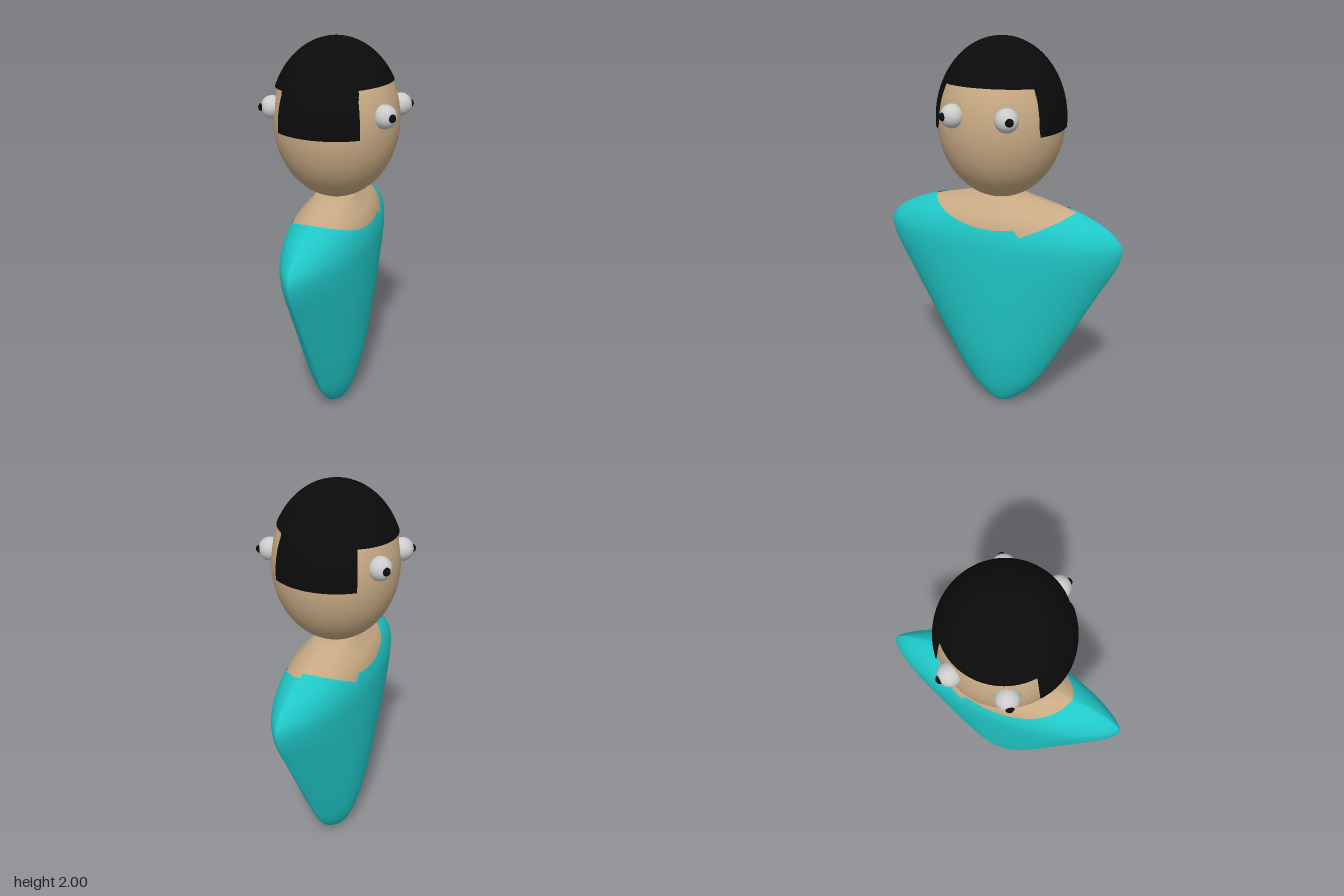
import * as THREE from 'three';
import { mergeVertices } from 'three/addons/utils/BufferGeometryUtils.js';
import { ParametricGeometry } from 'three/addons/geometries/ParametricGeometry.js';

const material = (color) => new THREE.MeshStandardMaterial({ color, side: THREE.DoubleSide });
const skin = material(0xc8aa84);
const teal = material(0x20c8c8);
const black = material(0x0b0b0b);
const white = material(0xcccccc);

// Smooth closed surface from a rule; u runs around, v runs upward
function surface(rule, slices, stacks) {
  let g = new ParametricGeometry(rule, slices, stacks);
  g.deleteAttribute('normal');
  g.deleteAttribute('uv');
  g = mergeVertices(g, 1e-5);
  g.computeVertexNormals();
  return g;
}

function add(parent, name, geometry, mat, x = 0, y = 0, z = 0) {
  const mesh = new THREE.Mesh(geometry, mat);
  mesh.name = name;
  mesh.position.set(x, y, z);
  parent.add(mesh);
  return mesh;
}

// Torso profile: half width in x, height, half depth in z
const profile = new THREE.CatmullRomCurve3([
  [0, 0.005, 0], [0.045, 0.04, 0.07], [0.075, 0.09, 0.13], [0.108, 0.18, 0.205],
  [0.145, 0.35, 0.3], [0.17, 0.55, 0.405], [0.19, 0.77, 0.52], [0.2, 0.95, 0.61],
  [0.2, 1.035, 0.62], [0.19, 1.1, 0.57], [0.17, 1.155, 0.48], [0.135, 1.2, 0.36],
  [0.11, 1.23, 0.23], [0.09, 1.25, 0.14], [0, 1.26, 0],
].map((p) => new THREE.Vector3(...p)));

// Lens-shaped cross-section of the torso
function torsoPoint(angle, t, target) {
  const p = profile.getPoint(t);
  const s = Math.sin(angle);
  return target.set(p.x * Math.sign(s) * Math.abs(s) ** 1.5, p.y, p.z * Math.cos(angle));
}

// Height of the neckline, with a small notch towards the back
function neckline(p) {
  if (p.z < -0.14) return 1.08 + (-p.z - 0.14) * (p.x > 0 ? 0.44 : 0.55);
  return 1.11 + 0.09 * (p.z / 0.35) ** 2;
}

function necklineAt(angle) {
  const p = new THREE.Vector3();
  let t = 0.5;
  while (t < 1 && torsoPoint(angle, t, p).y < neckline(p)) t += 0.001;
  return t;
}

function hairGeometry() {
  const c = 1.615, ry = 0.385, r = 0.313;
  return surface((u, v, out) => {
    const a = u * Math.PI * 2 - Math.PI / 2;
    const front = a > -0.68 && a < 0.69;
    const back = a > Math.PI - 0.62 && a < Math.PI + 0.74;
    // low fringe at front and back, raised hairline at the sides
    const edge = front || back ? 1.59 : 1.79 + 0.018 * Math.sin(a);
    const theta = Math.acos((edge - c) / ry) * (1 - v);
    out.set(r * Math.sin(theta) * Math.sin(a), c + ry * Math.cos(theta), r * Math.sin(theta) * Math.cos(a));
  }, 256, 28);
}

export function createModel() {
  const model = new THREE.Group();
  model.name = 'figure';

  // Shirt: torso surface trimmed at the neckline
  const limits = new Map();
  add(model, 'shirt', surface((u, v, out) => {
    const a = u * Math.PI * 2;
    if (!limits.has(u)) limits.set(u, necklineAt(a));
    torsoPoint(a, v * limits.get(u), out);
  }, 160, 56), teal);

  // Neck and shoulders show inside the neckline
  add(model, 'neck', surface((u, v, out) => {
    torsoPoint(u * Math.PI * 2, 0.55 + 0.45 * v, out);
    out.set(out.x * 0.985, out.y - 0.004, out.z * 0.985);
  }, 96, 30), skin);

  // Head
  const head = add(model, 'head', new THREE.SphereGeometry(1, 64, 40), skin, 0.003, 1.612, 0);
  head.scale.set(0.302, 0.375, 0.306);

  add(model, 'hair', hairGeometry(), black);

  // Two eyes on each side face
  for (const sx of [1, -1]) {
    for (const sz of [1, -1]) {
      const eye = new THREE.Group();
      eye.name = (sx > 0 ? 'left' : 'right') + (sz > 0 ? 'Front' : 'Back') + 'Eye';
      add(eye, 'eyeball', new THREE.SphereGeometry(0.055, 32, 20), white);
      add(eye, 'pupil', new THREE.SphereGeometry(0.02, 20, 14), black, sx * 0.038, 0.002, sz * 0.026);
      eye.position.set(sx * 0.275 + 0.003, 1.678, sz * 0.13);
      model.add(eye);
    }
  }
  return model;
}
